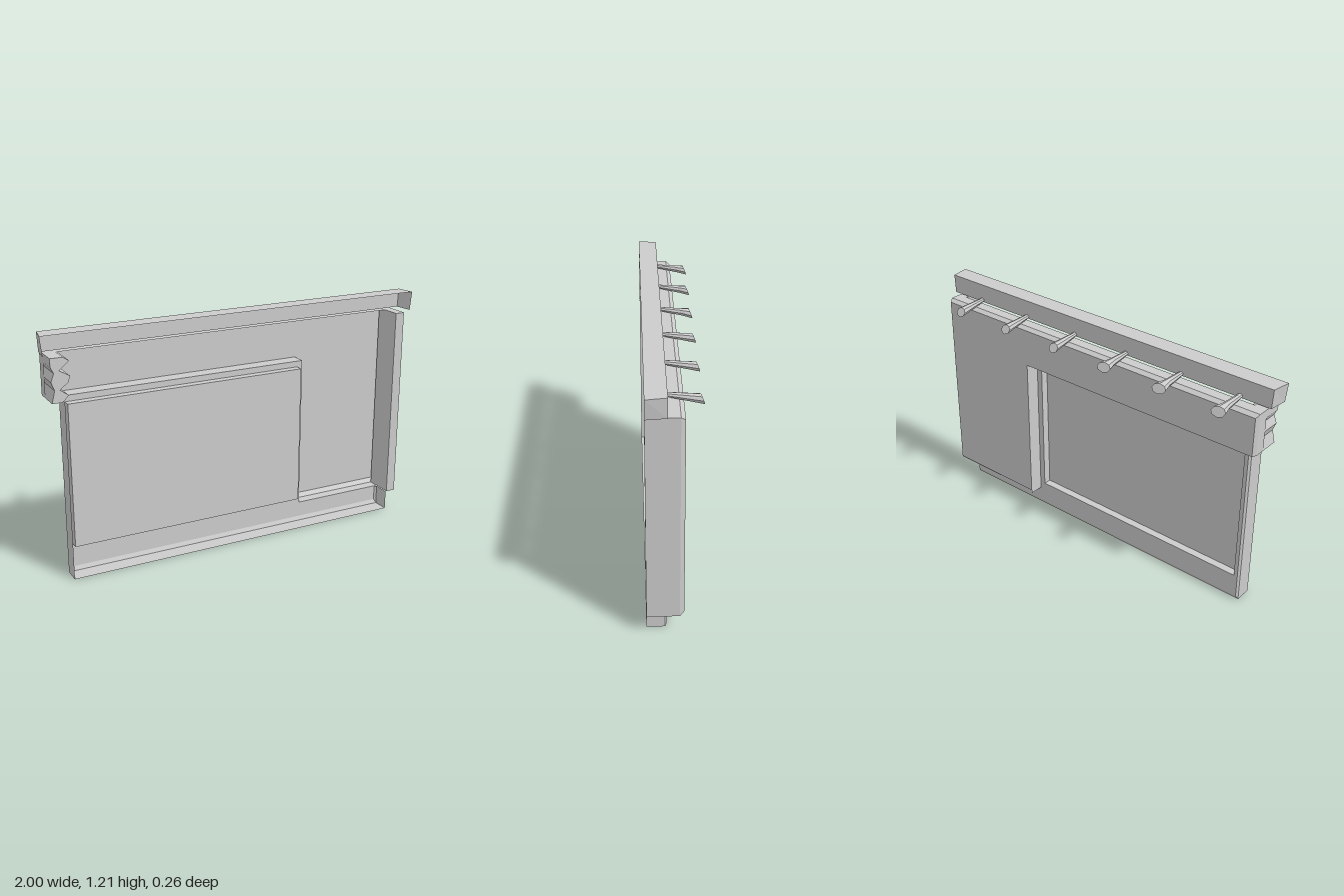
import * as THREE from 'three';

const mat = new THREE.MeshStandardMaterial({ color: 0xcccccc, flatShading: true, side: THREE.DoubleSide });

export function createModel() {
  const model = new THREE.Group();
  const add = (name, geometry) => {
    const mesh = new THREE.Mesh(geometry, mat);
    mesh.name = name;
    model.add(mesh);
    return mesh;
  };
  const outline = pts => pts.map(p => new THREE.Vector2(...p));
  const rect = (x0, y0, x1, y1) => [[x0, y0], [x1, y0], [x1, y1], [x0, y1]];

  // flat sheet facing the back, at depth z
  const sheet = (name, pts, z, hole) => {
    const shape = new THREE.Shape(outline(pts));
    if (hole) shape.holes.push(new THREE.Path(outline(hole)));
    const g = new THREE.ShapeGeometry(shape);
    g.translate(0, 0, z);
    add(name, g);
  };

  // strip of quads joining one path at depth zA to another at depth zB
  const ribbon = (name, a, zA, b, zB, closed = false) => {
    const pos = [], n = a.length;
    for (let i = 0; i < (closed ? n : n - 1); i++) {
      const j = (i + 1) % n;
      const q = [[...a[i], zA], [...a[j], zA], [...b[j], zB], [...b[i], zB]];
      for (const k of [0, 1, 2, 0, 2, 3]) pos.push(...q[k]);
    }
    const g = new THREE.BufferGeometry();
    g.setAttribute('position', new THREE.Float32BufferAttribute(pos, 3));
    g.computeVertexNormals();
    add(name, g);
  };

  // lower wall: open shell with a chamfered foot and a recessed window
  const opening = rect(-0.87, 0.14, 0.37, 0.86);
  sheet('lowerWall',
    [[-0.89, 0.02], [0.89, 0.02], [0.89, 0.1], [0.4, 0.1], [0.4, 0.89], [-0.89, 0.89]], 0.035, opening);
  const foot = [[-0.9, 0.89], [-0.9, 0], [0.9, 0], [0.9, 0.1]];
  const footInner = [[-0.89, 0.89], [-0.89, 0.02], [0.89, 0.02], [0.89, 0.1]];
  ribbon('lowerWallChamfer', footInner, 0.035, foot, 0.045);
  ribbon('lowerWallSides', foot, 0.045, foot, 0.13);
  ribbon('windowReveal', opening, 0.035, opening, 0.075, true);
  sheet('windowPanel', opening, 0.075);

  // raised L-shaped fascia: long band on top, broad block on one side
  sheet('fascia',
    [[-0.95, 0.89], [0.4, 0.89], [0.4, 0.12], [0.945, 0.12], [0.945, 1.085], [-0.95, 1.085]], -0.04);
  const rim = [[0.4, 0.1], [0.955, 0.1], [0.955, 1.1], [-0.96, 1.1], [-0.96, 0.89]];
  const rimInner = [[0.4, 0.12], [0.945, 0.12], [0.945, 1.085], [-0.95, 1.085], [-0.95, 0.89]];
  ribbon('fasciaChamfer', rimInner, -0.04, rim, -0.02);
  ribbon('fasciaRim', rim, -0.02, rim, 0.035);
  const step = [[-0.95, 0.89], [0.4, 0.89], [0.4, 0.1]];
  ribbon('fasciaStep', step, -0.04, step, 0.035);

  // pier closing the block's outer end
  const pier = add('endPier', new THREE.BoxGeometry(0.05, 1, 0.15));
  pier.position.set(0.93, 0.6, 0.055);

  // broken, jagged end of the band
  const jagged = [[-0.96, 0.89], [-0.91, 0.89], [-0.88, 0.92], [-0.92, 0.95], [-0.88, 0.98], [-0.87, 1.01],
    [-0.92, 1.04], [-0.87, 1.08], [-0.9, 1.1], [-0.96, 1.1], [-0.96, 1.06], [-0.945, 1.03],
    [-0.96, 0.99], [-0.945, 0.95]];
  const rubble = new THREE.ExtrudeGeometry(new THREE.Shape(outline(jagged)), { depth: 0.15, bevelEnabled: false });
  rubble.translate(0, 0, -0.02);
  add('brokenEnd', rubble);

  // parapet cap, open at the front and below
  const capFront = [[-0.99, 1.11], [-1, 1.205], [1, 1.205], [0.99, 1.11]];
  const capBack = [[-0.98, 1.11], [-0.985, 1.205], [0.985, 1.205], [0.98, 1.11]];
  ribbon('parapetCap', capFront, 0.13, capBack, 0.035);
  sheet('parapetBack', capBack, 0.035);

  // row of flared spouts with slanted ends; three of them have a wider hood
  for (let i = 0; i < 6; i++) {
    const hooded = i < 3;
    const g = new THREE.CylinderGeometry(1, 1, 1, 8, 3);
    const p = g.attributes.position;
    for (let k = 0; k < p.count; k++) {
      const cx = p.getX(k), cy = p.getZ(k), t = p.getY(k) + 0.5;
      const flare = hooded && t > 0.9 ? 0.036 : 0.013 + 0.011 * t;
      const x = cx * flare + (hooded ? 0.012 : 0.006) * t;
      const y = 1.12 - 0.02 * t + cy * (0.01 + 0.014 * t);
      const z = 0.035 - 0.152 * t + t * (0.008 * cy - 0.005 * cx);
      p.setXYZ(k, x, y, z);
    }
    g.computeVertexNormals();
    add('spout', g).position.x = -0.82 + 0.32 * i;
  }

  return model;
}
